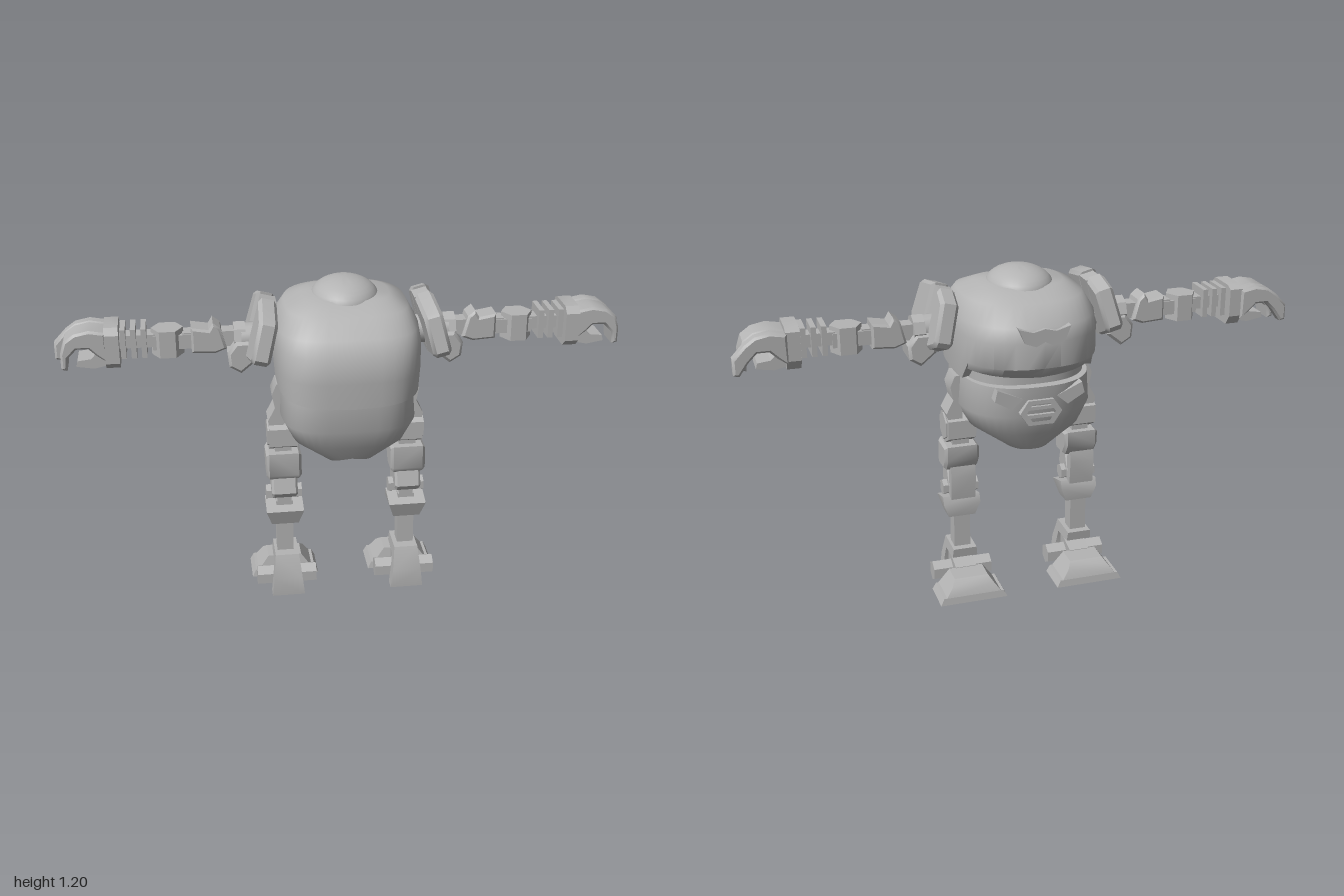
import * as THREE from 'three';
import { toCreasedNormals } from 'three/addons/utils/BufferGeometryUtils.js';

const metal = new THREE.MeshStandardMaterial({ color: 0xb4b4b4 });
metal.name = 'grey metal';

// Straight extrusion of an [x, y] outline between z0 and z1, with optional bevel and hole
function extrudeZ(pts, z0, z1, bevel = 0, hole = null) {
  const shape = new THREE.Shape(pts.map(p => new THREE.Vector2(...p)));
  if (hole) shape.holes.push(new THREE.Path(hole.map(p => new THREE.Vector2(...p))));
  const g = new THREE.ExtrudeGeometry(shape, {
    depth: z1 - z0 - 2 * bevel, bevelEnabled: bevel > 0, bevelSize: bevel,
    bevelThickness: bevel, bevelOffset: -bevel, bevelSegments: 1,
  });
  return g.translate(0, 0, z0 + bevel);
}

// Extrusion of a side outline given as [z, y], between x0 and x1
const extrudeX = (pts, x0, x1, bevel = 0) =>
  extrudeZ(pts.map(([z, y]) => [-z, y]), x0, x1, bevel).rotateY(Math.PI / 2);

// Box from its limits
const box = (x0, x1, y0, y1, z0, z1) => new THREE.BoxGeometry(x1 - x0, y1 - y0, z1 - z0)
  .translate((x0 + x1) / 2, (y0 + y1) / 2, (z0 + z1) / 2);

// Cylinder lying along x
const rodX = (r, x0, x1, y, z, sides = 6) => new THREE.CylinderGeometry(r, r, x1 - x0, sides)
  .rotateY(Math.PI / 2).rotateZ(Math.PI / 2).translate((x0 + x1) / 2, y, z);

// Closed shell from rising rings [y, halfWidth, zFront, zBack, lift(c, s)]: square front, rounder back
function loft(rings, n = 40) {
  const pos = [], idx = [];
  const pw = (v, e) => Math.sign(v) * Math.abs(v) ** e;
  for (const [y, w, zf, zb, lift] of rings) {
    for (let j = 0; j < n; j++) {
      const a = (j / n) * Math.PI * 2, c = Math.cos(a), s = Math.sin(a);
      const e = s > 0 ? 0.55 : 0.8;
      pos.push(w * pw(c, e), y + (lift ? lift(c, s) : 0), s > 0 ? zf * pw(s, e) : zb * pw(-s, e));
    }
  }
  const top = (rings.length - 1) * n, c0 = rings.length * n;
  pos.push(0, rings[0][0] + 0.02, 0, 0, rings.at(-1)[0] + 0.003, 0);
  for (let j = 0; j < n; j++) {
    const k = (j + 1) % n;
    for (let i = 0; i < top; i += n) idx.push(i + j, i + n + j, i + k, i + k, i + n + j, i + n + k);
    idx.push(c0, j, k, c0 + 1, top + k, top + j);
  }
  const g = new THREE.BufferGeometry();
  g.setAttribute('position', new THREE.Float32BufferAttribute(pos, 3));
  g.setIndex(idx);
  return g;
}

// Mirrored copy across x, with the corner order kept outward
function mirrorX(geo) {
  const g = geo.index ? geo.toNonIndexed() : geo.clone();
  const p = g.attributes.position, a = new THREE.Vector3(), b = new THREE.Vector3();
  g.scale(-1, 1, 1);
  for (let i = 0; i < p.count; i += 3) {
    a.fromBufferAttribute(p, i + 1);
    b.fromBufferAttribute(p, i + 2);
    p.setXYZ(i + 1, b.x, b.y, b.z);
    p.setXYZ(i + 2, a.x, a.y, a.z);
  }
  return g;
}

export function createModel() {
  const model = new THREE.Group();
  model.name = 'robot';
  const add = (name, geo, crease = 0.6) => {
    const mesh = new THREE.Mesh(toCreasedNormals(geo, crease), metal);
    mesh.name = name;
    model.add(mesh);
  };
  const pair = (name, geo, crease) => {
    add(name + 'Left', geo, crease);
    add(name + 'Right', mirrorX(geo), crease);
  };

  // Body shells, with a recessed core showing in the gap at the face
  add('upperShell', loft([
    [0.828, 0.245, 0.288, -0.24, (c, s) => 0.018 * Math.abs(c) + (s < -0.4 ? 0.045 : 0)],
    [0.92, 0.25, 0.29, -0.285], [1.01, 0.25, 0.288, -0.287], [1.06, 0.243, 0.25, -0.275],
    [1.12, 0.21, 0.19, -0.2], [1.15, 0.15, 0.12, -0.11],
  ]), 0.75);
  add('core', loft([[0.78, 0.21, 0.22, -0.21], [0.93, 0.22, 0.22, -0.215]]));
  add('lowerShell', loft([
    [0.578, 0.09, 0.2, -0.165, (c, s) => (s > 0 ? 0.022 * (1 - Math.abs(c)) : 0)],
    [0.655, 0.2, 0.23, -0.212], [0.73, 0.236, 0.26, -0.235],
    [0.84, 0.226, 0.262, -0.245, (c, s) => (s > 0 ? 0.008 : 0)],
  ]), 0.75);
  add('dome', new THREE.SphereGeometry(1, 32, 16).scale(0.118, 0.07, 0.138).translate(0, 1.13, 0.005));

  // Face on the toe side: eye visor, mouth vent and cheek plates
  add('visor', extrudeZ([[-0.09, 1.065], [-0.04, 1.05], [0, 1.06], [0.04, 1.05], [0.09, 1.065],
    [0.07, 1.015], [0.03, 1.0], [0, 1.015], [-0.03, 1.0], [-0.07, 1.015]], -0.288, -0.25));
  const hex = k => [[-1, 0], [-0.6, 0.6], [0.6, 0.6], [1, 0], [0.6, -0.6], [-0.6, -0.6]]
    .map(([x, y]) => [x * k, 0.75 + y * k]);
  add('mouthVent', extrudeZ(hex(0.075), -0.252, -0.2, 0, hex(0.052)));
  for (const y of [0.735, 0.765]) add('ventSlat', box(-0.05, 0.05, y - 0.006, y + 0.006, -0.247, -0.2));
  pair('cheekPlate', extrudeZ([[0.06, 0.8], [0.15, 0.84], [0.16, 0.8], [0.1, 0.765]], -0.238, -0.18));

  // Shoulder pads, leaning outward at the bottom
  const lean = g => g.rotateZ(0.25).translate(0.295, 1.04, 0);
  pair('shoulderPadFront', lean(extrudeX([[0.225, -0.05], [0.2, 0.07], [0.185, 0.08], [0.045, 0.108],
    [0.045, -0.115], [0.21, -0.07]], -0.035, 0.03, 0.012)));
  pair('shoulderPadBack', lean(extrudeX([[-0.14, -0.05], [-0.11, 0.08], [-0.022, 0.108],
    [-0.022, -0.115], [-0.13, -0.07]], -0.035, 0.03, 0.012)));
  pair('shoulderStrap', lean(box(-0.035, 0.018, -0.11, 0.1, -0.025, 0.05)));
  pair('shoulderAxle', rodX(0.05, 0.2, 0.36, 1, 0.01, 12));
  pair('shoulderBlock', extrudeZ([[0.31, 0.93], [0.365, 0.885], [0.405, 0.91], [0.41, 0.96],
    [0.38, 1.0], [0.32, 1.0]], -0.055, 0.07, 0.01));

  // Arm: upper bar, sleeve, elbow, ribbed forearm and cuff
  pair('upperArmBar', box(0.34, 0.56, 0.975, 1.03, -0.025, 0.03));
  pair('shoulderRing', rodX(0.055, 0.345, 0.385, 1.0, 0.005, 8));
  pair('armSleeve', extrudeZ([[0.41, 0.97], [0.43, 1.045], [0.455, 1.065], [0.47, 1.04], [0.53, 1.05],
    [0.53, 0.96], [0.45, 0.955]], -0.042, 0.045, 0.008));
  pair('elbow', new THREE.CylinderGeometry(0.055, 0.055, 0.095, 6)
    .rotateY(Math.PI / 2).translate(0.61, 0.998, 0.005));
  pair('elbowLink', box(0.53, 0.66, 0.975, 1.025, -0.03, 0.035));
  pair('forearm', box(0.65, 0.79, 0.985, 1.03, -0.025, 0.03));
  for (const x of [0.68, 0.715, 0.75]) pair('forearmRib', box(x, x + 0.018, 0.957, 1.06, -0.045, 0.055));
  pair('cuff', extrudeX([[-0.075, 0.96], [-0.075, 1.06], [-0.05, 1.072], [0.055, 1.072], [0.078, 1.05],
    [0.078, 0.95], [0.05, 0.925], [-0.05, 0.925]], 0.772, 0.82));

  // Hand: curled fingers, palm and a longer outer finger
  const curl = k => [[0.815, 0.95], [0.815, 1.055], [0.87, 1.065], [0.92, 1.055], [0.955, 1.03],
    [0.97 + k, 0.985], [0.97 + k, 0.93], [0.95 + k, 0.925], [0.945, 0.97], [0.915, 1.0],
    [0.875, 1.0], [0.85, 0.975]];
  pair('fingers', extrudeZ(curl(0), -0.035, 0.065, 0.008));
  pair('outerFinger', extrudeZ(curl(0.027), -0.083, -0.035, 0.008));
  pair('thumb', extrudeZ([[0.815, 0.935], [0.815, 0.98], [0.85, 0.98], [0.87, 0.96], [0.915, 0.955],
    [0.92, 0.935], [0.86, 0.925]], -0.045, 0.05));

  // Hip and thigh
  pair('hipArmour', extrudeZ([[0.22, 0.83], [0.245, 0.83], [0.262, 0.79], [0.252, 0.74], [0.278, 0.69],
    [0.265, 0.64], [0.22, 0.66]], -0.035, 0.05));
  pair('hipJoint', rodX(0.066, 0.175, 0.275, 0.63, 0.012));
  pair('hipCap', rodX(0.052, 0.17, 0.281, 0.63, 0.012));
  pair('hipPost', box(0.195, 0.255, 0.54, 0.62, -0.02, 0.04));
  pair('thigh', extrudeX([[0.066, 0.565], [-0.043, 0.565], [-0.043, 0.51], [-0.015, 0.468],
    [0.06, 0.463], [0.07, 0.48]], 0.162, 0.288, 0.01));

  // Knee and shin
  pair('kneeBlock', extrudeX([[0.06, 0.47], [0, 0.47], [-0.03, 0.4], [0.065, 0.39], [0.078, 0.41]],
    0.178, 0.272, 0.008));
  pair('kneeCap', extrudeX([[-0.015, 0.46], [-0.047, 0.49], [-0.054, 0.45], [-0.045, 0.36],
    [-0.01, 0.37]], 0.18, 0.27));
  pair('kneeUpperLink', box(0.2, 0.25, 0.34, 0.48, -0.02, 0.04));
  pair('kneePin', rodX(0.029, 0.16, 0.29, 0.39, 0.012));
  const calf = extrudeX([[0.076, 0.335], [0.04, 0.345], [-0.015, 0.36], [-0.028, 0.33], [-0.022, 0.28],
    [0.055, 0.275]], -0.068, 0.068);
  const cp = calf.attributes.position;
  for (let i = 0; i < cp.count; i++) if (cp.getY(i) < 0.3) cp.setX(i, cp.getX(i) * 0.72);
  pair('calf', calf.translate(0.225, 0, 0));
  pair('shin', box(0.195, 0.255, 0.12, 0.36, -0.018, 0.04));

  // Heel bracket, ankle axle and toes that widen towards the floor
  const flare = (g, k) => {
    const p = g.attributes.position;
    for (let i = 0; i < p.count; i++) p.setX(i, p.getX(i) * (1 - k * p.getY(i)));
    return g.translate(0.222, 0, 0);
  };
  pair('heel', flare(extrudeX([[0.11, 0], [0.11, 0.07], [0.078, 0.155], [-0.045, 0.155], [-0.04, 0.12],
    [0.055, 0.115], [0.066, 0.06], [0.066, 0]], -0.06, 0.06), 1.8));
  pair('ankleAxle', rodX(0.038, 0.112, 0.332, 0.043, 0.025));
  pair('footLink', extrudeX([[0.06, 0.11], [-0.05, 0.082], [-0.05, 0.03], [0.06, 0.06]], 0.185, 0.26));
  pair('toeCap', flare(extrudeX([[-0.035, 0.026], [-0.045, 0.08], [-0.125, 0.08], [-0.15, 0.06],
    [-0.163, 0.026]], -0.12, 0.12), 6));
  pair('toeSole', flare(extrudeX([[-0.033, 0], [-0.038, 0.026], [-0.163, 0.026], [-0.167, 0]],
    -0.125, 0.125), 4));
  return model;
}
